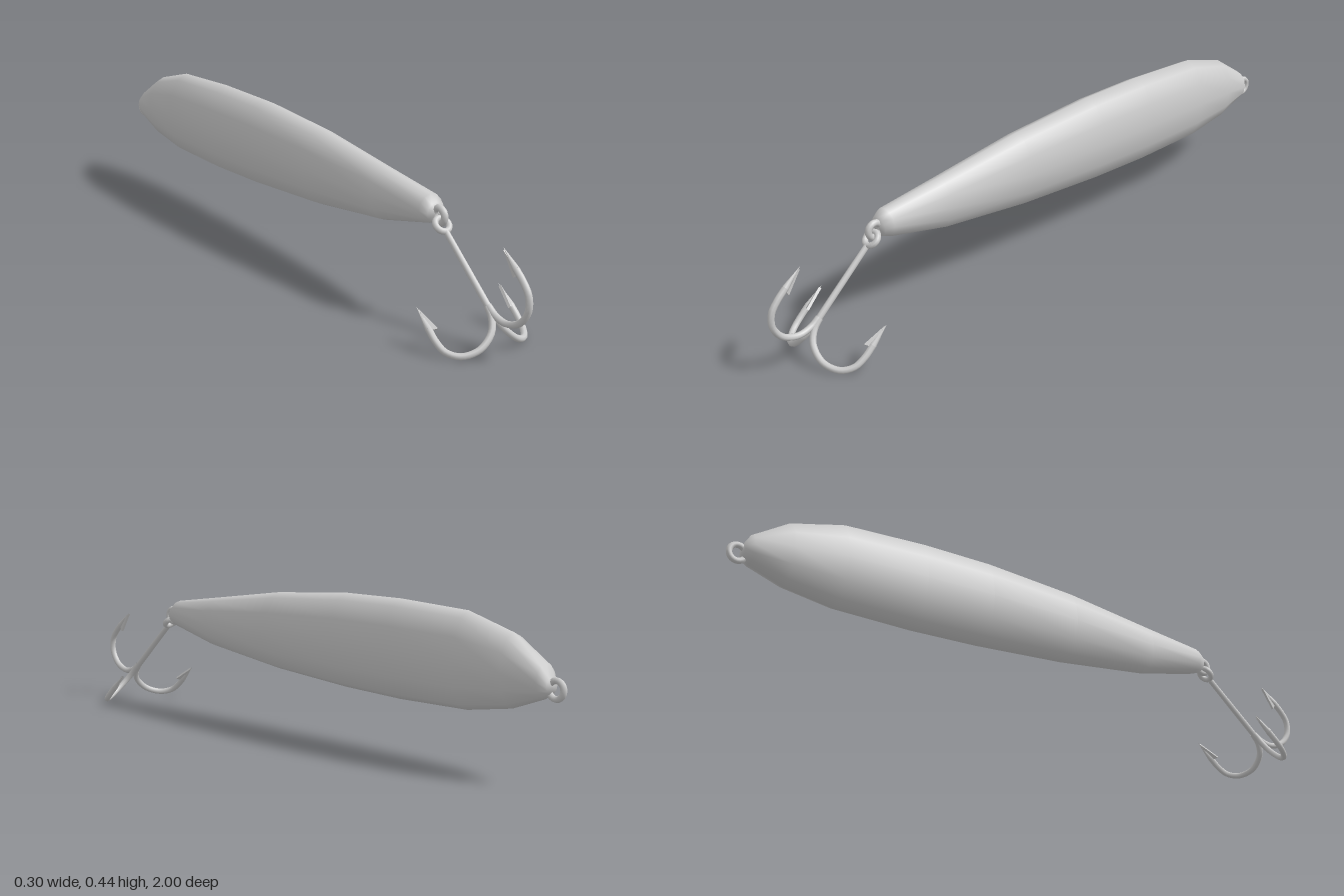
import * as THREE from 'three';

const material = new THREE.MeshStandardMaterial({ color: 0xcccccc, side: THREE.DoubleSide });

function addMesh(parent, name, geometry, x = 0, y = 0, z = 0) {
  const mesh = new THREE.Mesh(geometry, material);
  mesh.name = name;
  mesh.position.set(x, y, z);
  parent.add(mesh);
  return mesh;
}

// Twelve-sided oval body lofted along z; stations are [z, top, bottom, halfWidth]
function bodyGeometry() {
  const stations = [
    [-0.955, 0.262, 0.262, 0], [-0.953, 0.285, 0.24, 0.022], [-0.933, 0.318, 0.226, 0.04],
    [-0.826, 0.388, 0.188, 0.058], [-0.67, 0.432, 0.164, 0.069], [-0.42, 0.445, 0.162, 0.075],
    [-0.2, 0.445, 0.17, 0.075], [0.1, 0.425, 0.192, 0.068], [0.4, 0.386, 0.23, 0.053],
    [0.596, 0.361, 0.278, 0.041], [0.62, 0.343, 0.287, 0.03], [0.623, 0.315, 0.315, 0],
  ];
  const sides = 12, positions = [], index = [];
  stations.forEach(([z, top, bottom, halfWidth], i) => {
    for (let j = 0; j < sides; j++) {
      const a = (j / sides) * Math.PI * 2;
      positions.push(halfWidth * Math.sin(a), (top + bottom) / 2 + ((top - bottom) / 2) * Math.cos(a), z);
      if (i === stations.length - 1) continue;
      const p = i * sides + j, q = i * sides + ((j + 1) % sides);
      index.push(p, p + sides, q, q, p + sides, q + sides);
    }
  });
  const geometry = new THREE.BufferGeometry();
  geometry.setAttribute('position', new THREE.Float32BufferAttribute(positions, 3));
  geometry.setIndex(index);
  geometry.computeVertexNormals();
  return geometry;
}

// One prong in its own yz plane: bent wire, tapered point and inward barb
function createProng() {
  const prong = new THREE.Group();
  prong.name = 'hookProng';
  const path = [
    [0.002, 0.03], [0.006, 0.0], [0.027, -0.038], [0.075, -0.064],
    [0.125, -0.058], [0.155, -0.03], [0.164, 0.005], [0.165, 0.045],
  ].map(([r, y]) => new THREE.Vector3(0, y, r));
  addMesh(prong, 'bend', new THREE.TubeGeometry(new THREE.CatmullRomCurve3(path), 28, 0.0095, 8));
  addMesh(prong, 'point', new THREE.ConeGeometry(0.0095, 0.068, 8), 0, 0.079, 0.165);

  const outline = new THREE.Shape();
  outline.moveTo(-0.168, 0.04);
  outline.lineTo(-0.143, 0.034);
  outline.lineTo(-0.163, 0.105);
  outline.closePath();
  const barb = new THREE.ExtrudeGeometry(outline, { depth: 0.008, bevelEnabled: false });
  barb.translate(0, 0, -0.004).rotateY(Math.PI / 2);
  addMesh(prong, 'barb', barb);
  return prong;
}

// Treble hook: local origin where the prongs meet, +y up the shank
function createTrebleHook() {
  const hook = new THREE.Group();
  hook.name = 'trebleHook';
  addMesh(hook, 'shank', new THREE.CylinderGeometry(0.0085, 0.0095, 0.27, 10), 0, 0.13, 0);
  addMesh(hook, 'hookEye', new THREE.TorusGeometry(0.021, 0.009, 8, 20), 0, 0.284, 0);
  for (let i = 0; i < 3; i++) {
    const prong = createProng();
    prong.rotation.y = (i * Math.PI * 2) / 3;
    hook.add(prong);
  }
  hook.position.set(0, 0.1, 0.86);
  hook.rotation.x = -0.85;
  return hook;
}

export function createModel() {
  const lure = new THREE.Group();
  lure.name = 'fishingLure';
  addMesh(lure, 'body', bodyGeometry());

  // Wire eyes at both ends, standing in the yz plane
  addMesh(lure, 'noseEye', new THREE.TorusGeometry(0.024, 0.009, 8, 20), 0, 0.254, -0.967).rotation.y = Math.PI / 2;
  addMesh(lure, 'tailEye', new THREE.TorusGeometry(0.021, 0.01, 8, 20), 0, 0.31, 0.635).rotation.y = Math.PI / 2;

  lure.add(createTrebleHook());
  return lure;
}
